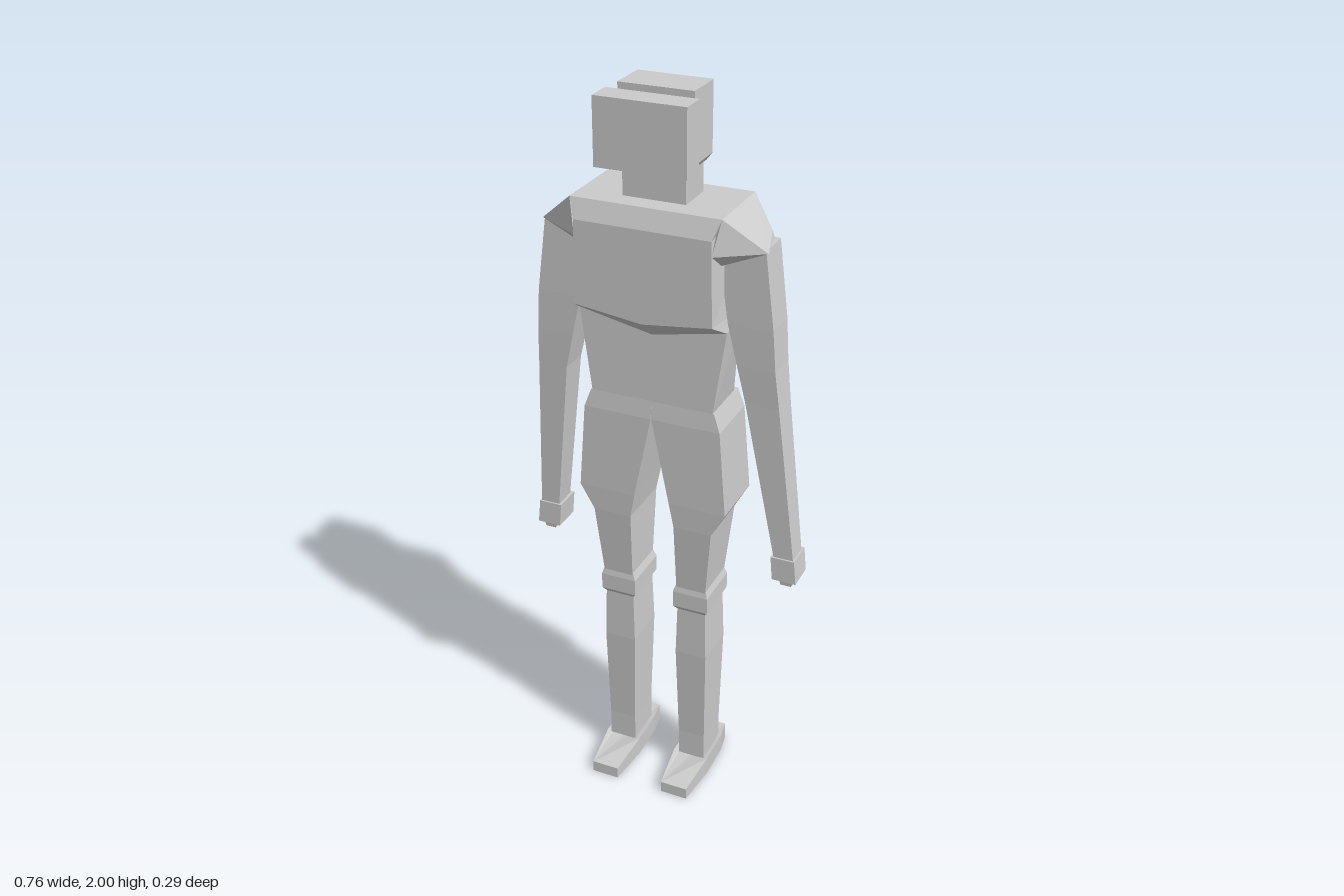
import * as THREE from 'three';
import { ConvexGeometry } from 'three/addons/geometries/ConvexGeometry.js';

const material = new THREE.MeshStandardMaterial({ color: 0xcccccc, flatShading: true });

function addMesh(parent, geometry, name) {
  const mesh = new THREE.Mesh(geometry, material);
  mesh.name = name;
  parent.add(mesh);
  return mesh;
}

// Skin through rings of [x, y, z], bottom to top, each anticlockwise from above
function loft(rings) {
  const n = rings[0].length, p = [];
  const tri = (a, b, c) => p.push(...a, ...b, ...c);
  for (let r = 0; r + 1 < rings.length; r++) {
    for (let i = 0; i < n; i++) {
      const j = (i + 1) % n, a = rings[r], b = rings[r + 1];
      tri(a[i], a[j], b[j]);
      tri(a[i], b[j], b[i]);
    }
  }
  const low = rings[0], top = rings[rings.length - 1];
  for (let i = 1; i + 1 < n; i++) {
    tri(low[0], low[i + 1], low[i]);
    tri(top[0], top[i], top[i + 1]);
  }
  const g = new THREE.BufferGeometry();
  g.setAttribute('position', new THREE.Float32BufferAttribute(p, 3));
  g.computeVertexNormals();
  return g;
}

// Rectangular sections [y, inner x, outer x, back z, front z], mirrored by side
function rectLoft(sections, side = 1) {
  return loft(sections.map(([y, a, b, back, front]) => {
    const x0 = Math.min(a * side, b * side), x1 = Math.max(a * side, b * side);
    return [[x0, y, front], [x1, y, front], [x1, y, back], [x0, y, back]];
  }));
}

// Six-point torso ring: front corner, front centre, back corner, back centre
function torsoRing([fs, fc, bs, bc]) {
  return [
    [-fs[0], fs[1], fs[2]], [0, ...fc], fs,
    bs, [0, ...bc], [-bs[0], bs[1], bs[2]],
  ];
}

function addLeg(parent, side) {
  const leg = new THREE.Group();
  leg.name = side > 0 ? 'leftLeg' : 'rightLeg';
  parent.add(leg);
  addMesh(leg, rectLoft([
    [0.63, 0.066, 0.15, -0.1, 0.033],
    [0.84, 0.063, 0.17, -0.12, 0.048],
    [0.91, 0.05, 0.209, -0.125, 0.05],
    [1.15, 0.001, 0.19, -0.12, 0.05],
    [1.2, 0, 0.172, -0.118, 0.045],
  ], side), 'thigh');
  addMesh(leg, rectLoft([
    [0.565, 0.067, 0.148, -0.098, 0.028],
    [0.578, 0.057, 0.158, -0.107, 0.037],
    [0.625, 0.057, 0.158, -0.107, 0.037],
    [0.645, 0.064, 0.152, -0.1, 0.033],
  ], side), 'kneeCuff');
  addMesh(leg, rectLoft([
    [0.05, 0.07, 0.148, -0.093, 0.02],
    [0.13, 0.07, 0.148, -0.093, 0.02],
    [0.42, 0.063, 0.153, -0.103, 0.03],
    [0.57, 0.067, 0.149, -0.098, 0.028],
  ], side), 'shin');
  // Foot: wide at the ankle, narrower at toe and heel, low at the toe
  const foot = (top) => [
    [-0.039, 0.145, 0.034], [0.039, 0.145, 0.034], [0.052, 0.02, 0.055],
    [0.05, -0.09, 0.055], [0.041, -0.145, 0.055], [-0.041, -0.145, 0.055],
    [-0.05, -0.09, 0.055], [-0.052, 0.02, 0.055],
  ].map(([x, z, y]) => [x + side * 0.108, top ? y : 0, z]);
  addMesh(leg, loft([foot(false), foot(true)]), 'foot');
}

function addArm(parent, side) {
  const arm = new THREE.Group();
  arm.name = side > 0 ? 'leftArm' : 'rightArm';
  parent.add(arm);
  // The left arm hangs slightly further out
  const out = side > 0 ? 0.041 : 0;
  const dz = side > 0 ? 0 : -0.006;
  addMesh(arm, rectLoft([
    [0.79, 0.298 + out, 0.351 + out, -0.045 + dz, 0.02 + dz],
    [1.24, 0.249, 0.33 + out * 0.2, -0.052, 0.03],
    [1.34, 0.226, 0.326, -0.058, 0.034],
    [1.45, 0.2, 0.318, -0.06, 0.036],
    [1.65, 0.17, 0.292, -0.063, 0.034],
  ], side), 'sleeve');
  addMesh(arm, rectLoft([
    [0.735, 0.295 + out, 0.361 + out, -0.056 + dz, 0.025 + dz],
    [0.803, 0.289 + out, 0.354 + out, -0.056 + dz, 0.025 + dz],
  ], side), 'wristCuff');
  addMesh(arm, rectLoft([
    [0.716, 0.315 + out, 0.345 + out, -0.035 + dz, 0.012 + dz],
    [0.74, 0.31 + out, 0.35 + out, -0.04 + dz, 0.015 + dz],
  ], side), 'hand');
  // Faceted shoulder between the torso corner and the arm
  const shoulder = [
    [0.198, 1.73, 0.08], [0.198, 1.73, -0.13], [0.27, 1.665, -0.065],
    [0.298, 1.645, 0.034], [0.18, 1.64, 0.098], [0.18, 1.6, 0.05],
    [0.18, 1.58, -0.09], [0.28, 1.64, -0.063], [0.15, 1.73, 0], [0.15, 1.6, 0],
  ].map(([x, y, z]) => new THREE.Vector3(x * side, y, z));
  addMesh(arm, new ConvexGeometry(shoulder), 'shoulder');
}

export function createModel() {
  const model = new THREE.Group();
  model.name = 'figure';
  const body = new THREE.Group();
  body.name = 'body';
  body.position.x = -0.022;
  model.add(body);

  // Torso with an overhanging chest and a ridged, hollow back
  addMesh(body, loft([
    [[0.165, 1.15, 0.048], [1.15, 0.048], [0.165, 1.15, -0.115], [1.15, -0.118]],
    [[0.168, 1.2, 0.045], [1.2, 0.045], [0.168, 1.2, -0.1], [1.2, -0.118]],
    [[0.2, 1.425, 0.04], [1.385, 0.04], [0.205, 1.42, -0.03], [1.41, -0.062]],
    [[0.185, 1.46, 0.1], [1.437, 0.1], [0.204, 1.46, -0.043], [1.45, -0.07]],
    [[0.18, 1.68, 0.1], [1.68, 0.1], [0.199, 1.66, -0.108], [1.66, -0.115]],
    [[0.198, 1.73, 0.08], [1.73, 0.08], [0.198, 1.73, -0.13], [1.73, -0.13]],
  ].map(torsoRing)), 'torso');

  for (const side of [-1, 1]) {
    addLeg(body, side);
    addArm(body, side);
  }

  // Neck and head: stepped block with a wider face plate
  addMesh(body, rectLoft([
    [1.72, -0.083, 0.083, -0.08, 0.025],
    [1.82, -0.083, 0.083, -0.08, 0.025],
  ]), 'neck');
  addMesh(body, rectLoft([
    [1.808, -0.088, 0.088, -0.085, 0.035],
    [1.823, -0.098, 0.098, -0.098, 0.035],
    [1.955, -0.098, 0.098, -0.098, 0.035],
    [1.97, -0.098, 0.098, -0.098, 0.013],
    [2.0, -0.098, 0.098, -0.098, 0.013],
  ]), 'head');
  addMesh(body, rectLoft([
    [1.82, -0.119, 0.119, 0.034, 0.105],
    [1.99, -0.119, 0.119, 0.034, 0.105],
  ]), 'facePlate');

  return model;
}
